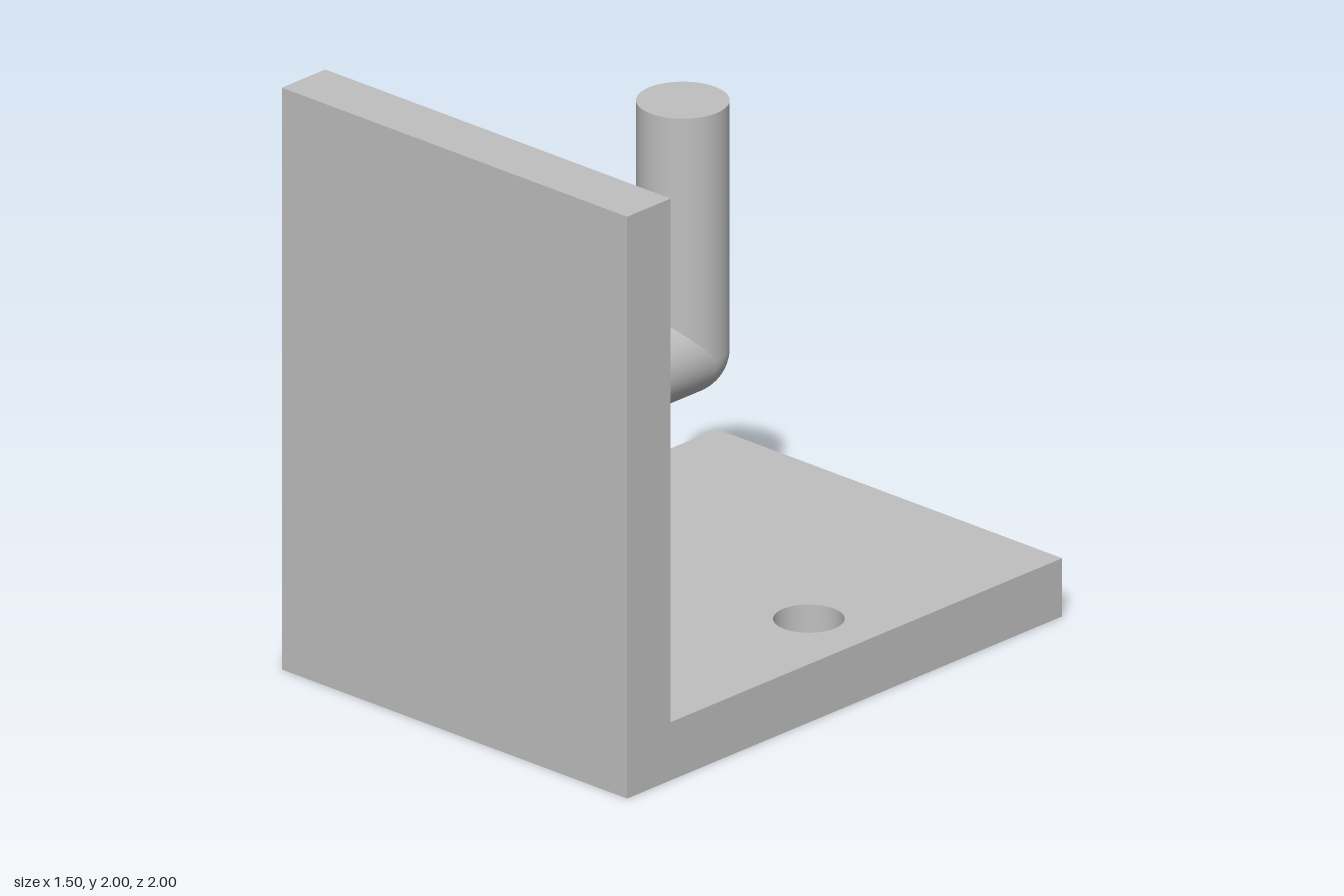
import * as THREE from 'three';
import { toCreasedNormals } from 'three/addons/utils/BufferGeometryUtils.js';

export function createModel() {
  const model = new THREE.Group();
  const grey = new THREE.MeshStandardMaterial({ color: 0xc0c0c0 });
  grey.name = 'plain grey';

  const WIDTH = 1.5, THICK = 0.2, WALL_Z = 0.8;
  const ROD_R = 0.148, ROD_Y = 1, BEND_Z = -0.05, ROD_TOP = 1.85;
  const FLANGE_R = 0.222, FLANGE_DEPTH = 0.075;

  function add(name, geometry, x, y, z) {
    const mesh = new THREE.Mesh(geometry, grey);
    mesh.name = name;
    mesh.position.set(x, y, z);
    model.add(mesh);
    return mesh;
  }

  // Upright plate
  add('backPlate', new THREE.BoxGeometry(WIDTH, 2, THICK), 0, 1, WALL_Z + THICK / 2);

  // Base plate with two screw holes (shape y becomes -z)
  const outline = new THREE.Shape();
  outline.moveTo(-WIDTH / 2, -WALL_Z);
  outline.lineTo(WIDTH / 2, -WALL_Z);
  outline.lineTo(WIDTH / 2, 1);
  outline.lineTo(-WIDTH / 2, 1);
  outline.closePath();
  for (const x of [-0.5, 0.5]) {
    const hole = new THREE.Path();
    hole.absarc(x, 0.1, 0.113, 0, Math.PI * 2, true);
    outline.holes.push(hole);
  }
  const base = new THREE.ExtrudeGeometry(outline, { depth: THICK, bevelEnabled: false, curveSegments: 48 });
  base.rotateX(-Math.PI / 2);
  add('basePlate', toCreasedNormals(base, 0.5), 0, 0, 0);

  // Conical flange where the rod meets the upright plate
  const flange = new THREE.CylinderGeometry(ROD_R, FLANGE_R, FLANGE_DEPTH, 64);
  flange.rotateX(-Math.PI / 2);
  add('flange', flange, 0, ROD_Y, WALL_Z - FLANGE_DEPTH / 2);

  // Horizontal arm
  const armLength = WALL_Z - BEND_Z;
  const arm = new THREE.CylinderGeometry(ROD_R, ROD_R, armLength, 64, 1, true);
  arm.rotateX(Math.PI / 2);
  add('arm', arm, 0, ROD_Y, (WALL_Z + BEND_Z) / 2);

  // Rounded elbow
  add('elbow', new THREE.SphereGeometry(ROD_R, 64, 32), 0, ROD_Y, BEND_Z);

  // Upright peg
  add('peg', new THREE.CylinderGeometry(ROD_R, ROD_R, ROD_TOP - ROD_Y, 64), 0, (ROD_TOP + ROD_Y) / 2, BEND_Z);

  return model;
}
